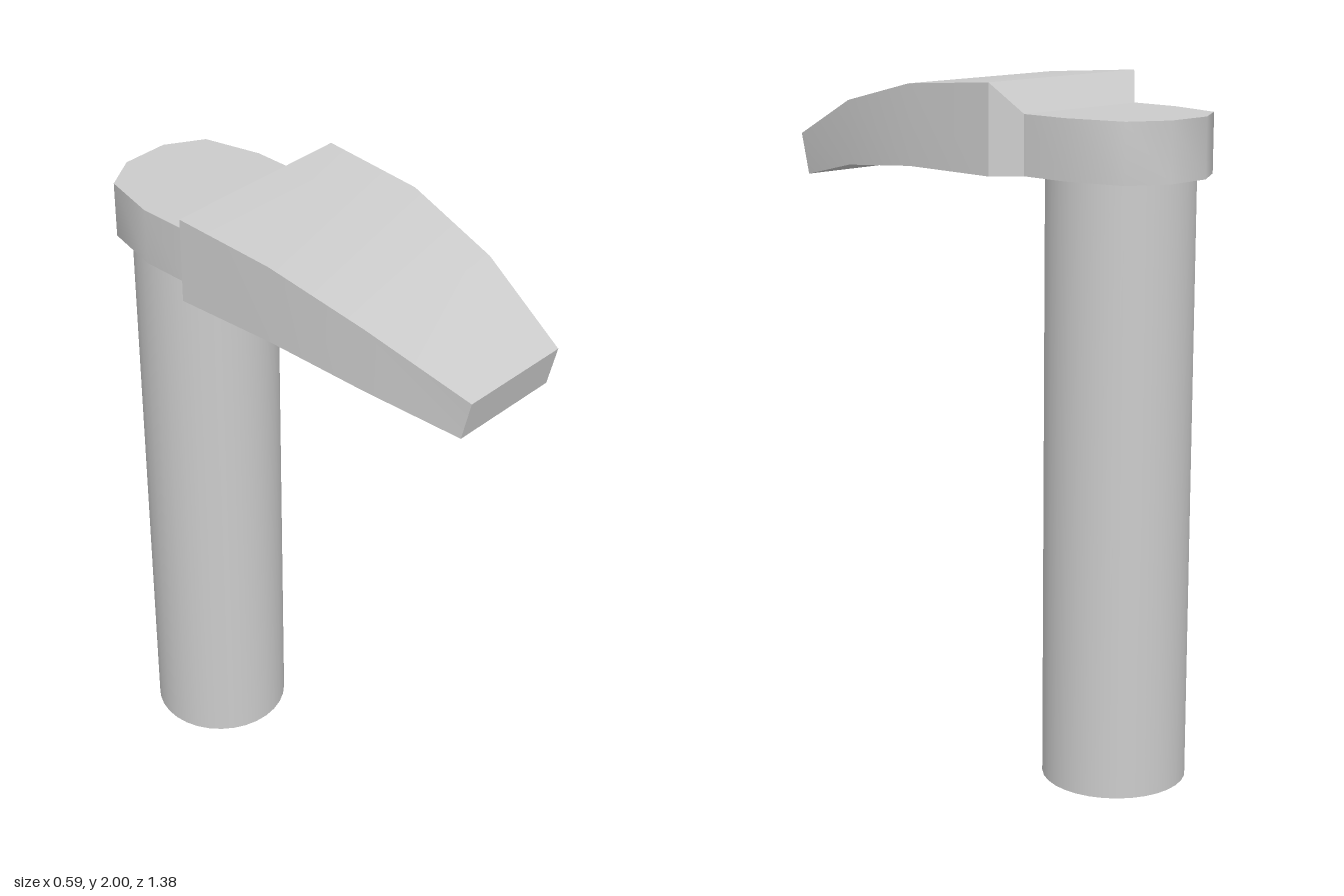
import * as THREE from 'three';
import { toCreasedNormals } from 'three/addons/utils/BufferGeometryUtils.js';

const material = new THREE.MeshStandardMaterial({ color: 0xcccccc });

// Lofts four-cornered sections running from back to front.
// Section: [left x, right x, bottom y, top y, bottom z, top z]
function loft(sections, crease, capBack, capFront) {
  const points = [];
  const index = [];
  for (const [l, r, b, t, zb, zt] of sections) {
    points.push(l, b, zb, r, b, zb, r, t, zt, l, t, zt);
  }
  for (let s = 0; s < sections.length - 1; s++) {
    for (let i = 0; i < 4; i++) {
      const a = s * 4 + i;
      const b = s * 4 + (i + 1) % 4;
      index.push(a, b, b + 4, a, b + 4, a + 4);
    }
  }
  const n = (sections.length - 1) * 4;
  if (capBack) index.push(0, 2, 1, 0, 3, 2);
  if (capFront) index.push(n, n + 1, n + 2, n, n + 2, n + 3);
  const geometry = new THREE.BufferGeometry();
  geometry.setAttribute('position', new THREE.Float32BufferAttribute(points, 3));
  geometry.setIndex(index);
  return toCreasedNormals(geometry, crease);
}

export function createModel() {
  const group = new THREE.Group();
  const add = (name, geometry) => {
    const mesh = new THREE.Mesh(geometry, material);
    mesh.name = name;
    group.add(mesh);
    return mesh;
  };

  // Round upright post
  add('post', new THREE.CylinderGeometry(0.208, 0.208, 1.75, 32)).position.set(-0.002, 0.875, -0.451);

  // Rounded collar over the post
  const collar = [[-0.69, 0.072], [-0.625, 0.181], [-0.452, 0.225], [-0.3, 0.225]]
    .map(([z, w]) => [-w - 0.002, w - 0.002, 1.747, 1.915, z, z]);
  add('collar', loft(collar, 0.85, true, false));

  // Drooping, tapered head, flaring out from the collar
  add('head', loft([
    [-0.227, 0.223, 1.747, 1.915, -0.3, -0.3],
    [-0.297, 0.294, 1.747, 2, -0.235, -0.235],
    [-0.283, 0.294, 1.748, 1.978, 0.08, 0.08],
    [-0.252, 0.246, 1.72, 1.908, 0.39, 0.39],
    [-0.178, 0.172, 1.662, 1.783, 0.66, 0.69],
  ], 0.5, false, true));

  return group;
}
